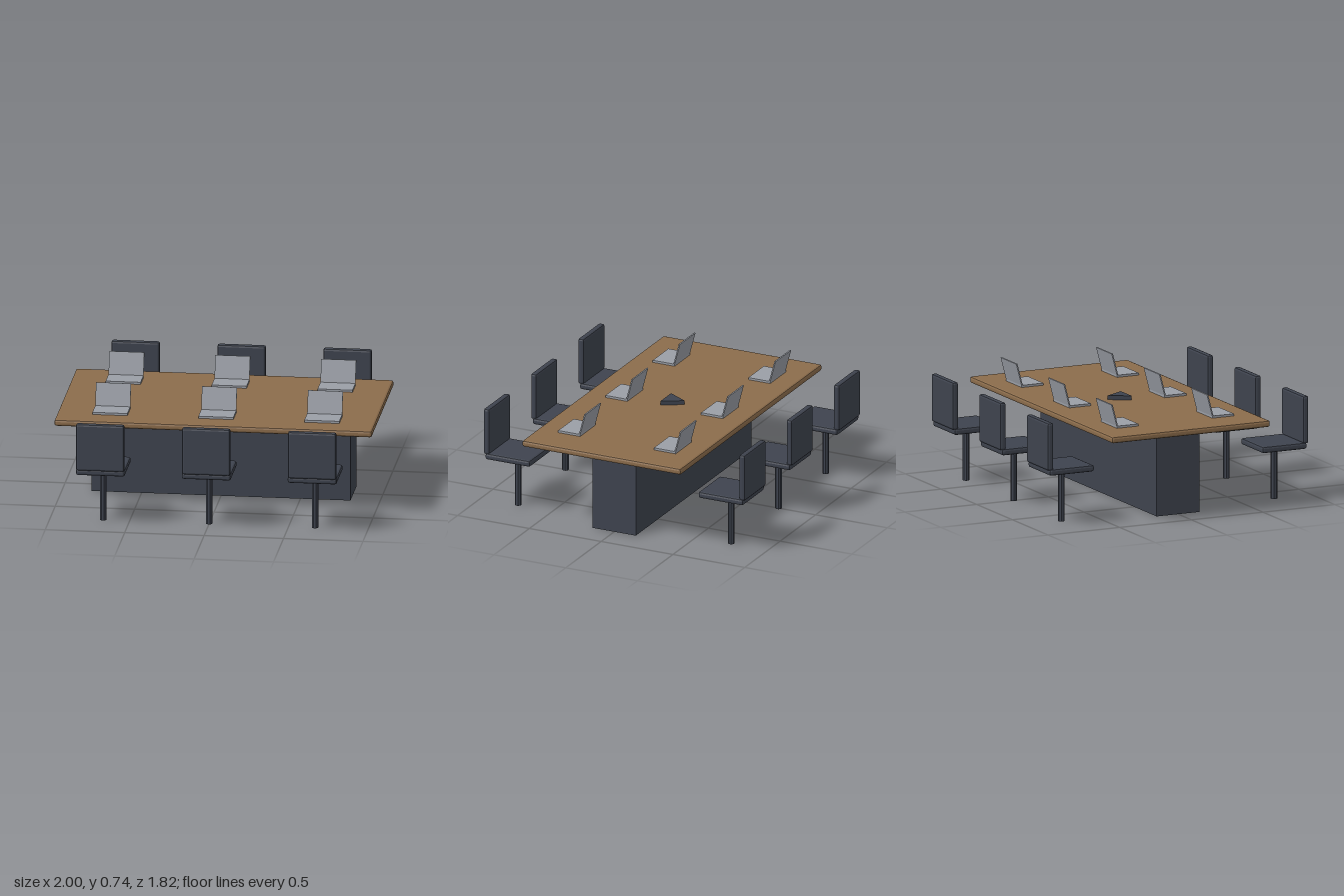
import * as THREE from 'three';
import { RoundedBoxGeometry } from 'three/addons/geometries/RoundedBoxGeometry.js';

const wood = new THREE.MeshStandardMaterial({ color: 0x8b6c4b });
wood.name = 'wood';
const charcoal = new THREE.MeshStandardMaterial({ color: 0x3e434e });
charcoal.name = 'charcoal';
const silver = new THREE.MeshStandardMaterial({ color: 0x9a9ea6 });
silver.name = 'silver';

function part(parent, name, geometry, material, x, y, z) {
  const mesh = new THREE.Mesh(geometry, material);
  mesh.name = name;
  mesh.position.set(x, y, z);
  parent.add(mesh);
  return mesh;
}

// Box with a single flat chamfer on every edge
function chamferBox(w, h, d, r) {
  const g = new RoundedBoxGeometry(w, h, d, 1, r);
  const flat = g.index ? g.toNonIndexed() : g;
  flat.computeVertexNormals();
  return flat;
}

// Chair facing -z, with its backrest on the +z side
function makeChair() {
  const chair = new THREE.Group();
  chair.name = 'chair';
  const post = new THREE.CylinderGeometry(0.021, 0.021, 0.34, 8).toNonIndexed();
  post.rotateY(Math.PI / 8);
  post.computeVertexNormals();
  part(chair, 'post', post, charcoal, 0, 0.17, 0);
  part(chair, 'seat', chamferBox(0.31, 0.042, 0.312, 0.014), charcoal, 0, 0.351, 0);
  part(chair, 'backrest', chamferBox(0.305, 0.305, 0.042, 0.014), charcoal, 0, 0.516, 0.148);
  return chair;
}

// Open laptop with the screen tilted back
function makeLaptop() {
  const laptop = new THREE.Group();
  laptop.name = 'laptop';
  part(laptop, 'laptopBase', new THREE.BoxGeometry(0.22, 0.014, 0.152), silver, 0, 0.007, 0);
  const screen = part(laptop, 'laptopScreen', new THREE.BoxGeometry(0.22, 0.15, 0.008), silver, 0, 0.081, -0.09);
  screen.rotation.x = -0.26;
  return laptop;
}

export function createModel() {
  const model = new THREE.Group();
  model.name = 'conferenceTable';

  // Table
  part(model, 'tableTop', chamferBox(2, 0.042, 1.106, 0.014), wood, 0, 0.56, 0);
  part(model, 'pedestal', new THREE.BoxGeometry(1.63, 0.545, 0.3), charcoal, 0, 0.2725, 0);

  // Triangular conference phone, pointing to the back
  const phone = new THREE.CylinderGeometry(0.088, 0.088, 0.027, 3).toNonIndexed();
  phone.rotateY(Math.PI);
  phone.computeVertexNormals();
  part(model, 'conferencePhone', phone, charcoal, 0, 0.594, 0);

  // Three places along each long side; every laptop opens to the front
  for (const x of [-0.667, 0, 0.667]) {
    for (const side of [1, -1]) {
      const chair = makeChair();
      chair.position.set(x, 0, 0.742 * side);
      chair.rotation.y = side > 0 ? 0 : Math.PI;
      const laptop = makeLaptop();
      laptop.position.set(x, 0.581, 0.333 * side);
      model.add(chair, laptop);
    }
  }
  return model;
}
